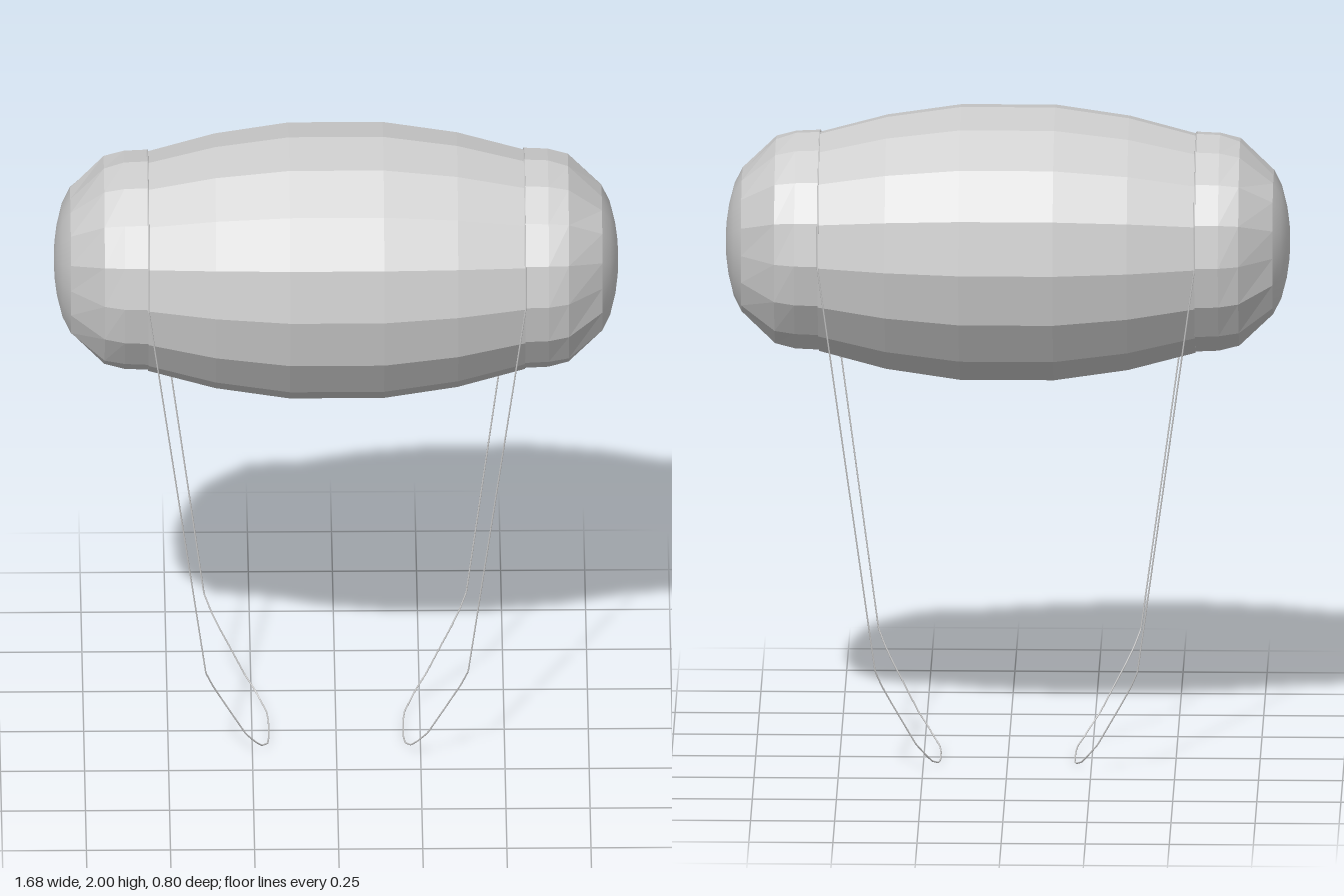
import * as THREE from 'three';

const SIDES = 16;
const AXIS_Y = 1.585;

// Turned part lying along x; corner bulge makes a ring slightly square
function turned(name, profile, { flat = true, bulge = 0, turn = -1, y = AXIS_Y, sides = SIDES } = {}) {
  const geo = new THREE.LatheGeometry(profile.map(([x, r]) => new THREE.Vector2(r, x)), sides);
  const p = geo.attributes.position;
  for (let i = 0; i < p.count; i++) {
    const a = Math.atan2(p.getZ(i), p.getX(i));
    const h = Math.abs(p.getY(i));
    const t = THREE.MathUtils.clamp((h - 0.66) / 0.12, 0, 1);
    const k = 1 + bulge * t * Math.sin(2 * a) ** 2;
    p.setX(i, p.getX(i) * k);
    p.setZ(i, p.getZ(i) * k);
  }
  geo.rotateZ(turn * Math.PI / 2);
  geo.scale(1, 1, 0.964);
  const mesh = new THREE.Mesh(geo, new THREE.MeshStandardMaterial({
    color: 0xcccccc, flatShading: flat, side: THREE.DoubleSide }));
  mesh.position.y = y;
  mesh.name = name;
  return mesh;
}

// Thin cord loop: over the seam, down both sides and round the bottom
function cord(side) {
  const half = [[0.39, 0.33, 0.25], [0.37, 0.28, 0.235], [0.345, 0.23, 0.22], [0.318, 0.18, 0.21],
    [0.27, 0.09, 0.188], [0.24, 0.05, 0.165], [0.222, 0.025, 0.14], [0.205, 0.01, 0.1], [0.2, 0.004, 0.05]];
  const pts = [];
  for (let i = 0; i <= SIDES / 2; i++) {
    const a = i / (SIDES / 2) * Math.PI;
    pts.push([0.56, AXIS_Y + 0.335 * Math.sin(a), -0.321 * Math.cos(a)]);
  }
  pts.push(...half, [0.2, 0.003, 0]);
  pts.push(...half.slice().reverse().map(([x, y, z]) => [x, y, -z]));
  const v = pts.map(([x, y, z]) => new THREE.Vector3(side * x, y, z));
  const path = new THREE.CurvePath();
  v.forEach((a, i) => path.add(new THREE.LineCurve3(a, v[(i + 1) % v.length])));
  const mesh = new THREE.Mesh(new THREE.TubeGeometry(path, 400, 0.0025, 5, true),
    new THREE.MeshStandardMaterial({ color: 0xcccccc }));
  mesh.name = side > 0 ? 'leftCord' : 'rightCord';
  return mesh;
}

export function createModel() {
  const model = new THREE.Group();
  model.name = 'barrelWithCords';

  // Barrel body
  model.add(turned('barrel', [[-0.56, 0.33], [-0.36, 0.383], [-0.14, 0.415],
    [0.14, 0.415], [0.36, 0.383], [0.56, 0.33]]));

  for (const side of [1, -1]) {
    const prefix = side > 0 ? 'left' : 'right';
    // Faceted end cap
    model.add(turned(prefix + 'Cap', [[0.555, 0.31], [0.56, 0.331], [0.63, 0.328], [0.69, 0.308], [0.79, 0.205]],
      { bulge: 0.12, turn: -side, y: 1.59 }));
    // Smooth domed end
    model.add(turned(prefix + 'Dome', [[0.79, 0.205], [0.814, 0.16], [0.83, 0.1], [0.837, 0.05], [0.839, 0]],
      { flat: false, bulge: 0.12, turn: -side, y: 1.59 }));
    model.add(cord(side));
  }
  return model;
}
